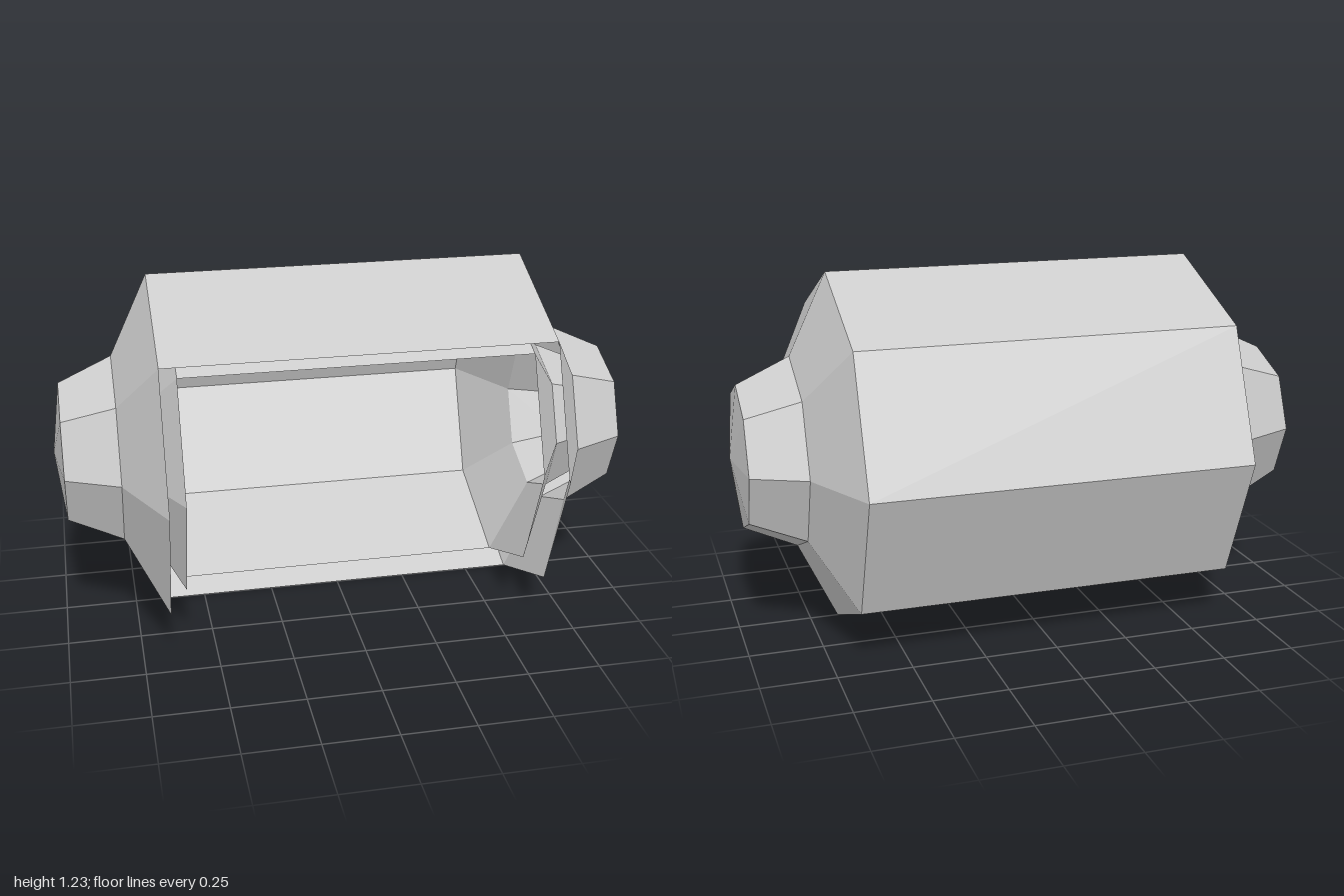
import * as THREE from 'three';

const SIDES = 8;
const RADIUS = 0.617;

const material = new THREE.MeshStandardMaterial({
  color: 0xcccccc,
  flatShading: true,
  side: THREE.DoubleSide,
});

// Eight-sided surface turned around the x axis; profile points are [radius, x]
function turned(name, profile, start = 0, sides = SIDES) {
  const step = (Math.PI * 2) / SIDES;
  const points = profile.map(([r, x]) => new THREE.Vector2(r, x));
  const geometry = new THREE.LatheGeometry(points, sides, start * step, sides * step);
  geometry.rotateZ(-Math.PI / 2);
  const mesh = new THREE.Mesh(geometry, material);
  mesh.name = name;
  return mesh;
}

// A thin shell: barrel with three front panels left open, and a closed cap at each end
function shell(name, capProfile) {
  const group = new THREE.Group();
  group.name = name;
  const [r, x] = capProfile[0];
  group.add(turned(name + 'Barrel', [[r, -x], [r, x]], 2, 5));
  for (const side of ['left', 'right']) {
    const cap = turned(side + 'EndCap', capProfile);
    if (side === 'right') cap.rotation.y = Math.PI;
    group.add(cap);
  }
  return group;
}

export function createModel() {
  const model = new THREE.Group();
  model.name = 'openCapsule';

  // Outer hull: shoulder cone, tapered neck, shallow pointed end
  model.add(shell('outerHull', [[RADIUS, 0.653], [0.338, 0.785], [0.253, 0.968], [0, 1]]));

  // Inner lining, slightly smaller, with hollow necks
  model.add(shell('innerLining', [[0.537, 0.593], [0.274, 0.73], [0.2, 0.9], [0, 0.93]]));

  model.position.y = RADIUS;
  const root = new THREE.Group();
  root.name = 'capsule';
  root.add(model);
  return root;
}
